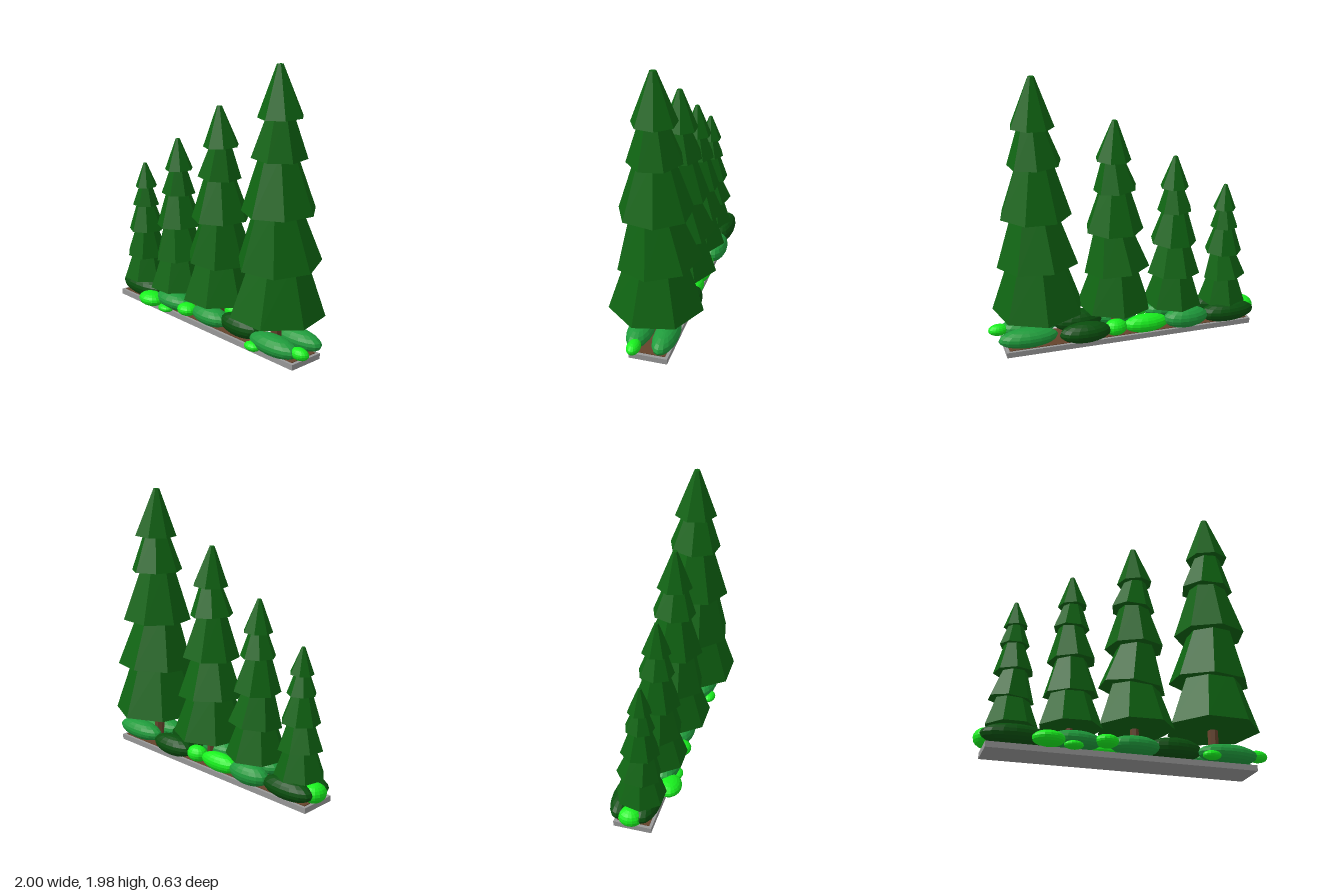
import * as THREE from 'three';

const mat = (color) => new THREE.MeshStandardMaterial({ color, flatShading: true });

export function createModel() {
  const model = new THREE.Group();
  const foliage = mat(0x0f6412);
  const bark = mat(0x65432b);
  const greens = { dark: mat(0x0a4f0e), mid: mat(0x1f9c3c), bright: mat(0x18f01e) };

  const add = (parent, name, geometry, material, x, y, z) => {
    const mesh = new THREE.Mesh(geometry, material);
    mesh.name = name;
    mesh.position.set(x, y, z);
    parent.add(mesh);
    return mesh;
  };

  // Base slab with a strip of soil
  add(model, 'base', new THREE.BoxGeometry(1.845, 0.04, 0.27), mat(0x999999), -0.0175, 0.02, -0.005);
  add(model, 'soil', new THREE.BoxGeometry(1.8, 0.012, 0.23), bark, -0.0175, 0.038, -0.005);

  // Foliage tiers of the tallest tree, above the slab:
  // [bottom y, top y, bottom radius, top radius, twist]
  const tiers = [
    [0.255, 0.66, 0.33, 0.19, Math.PI],
    [0.61, 1.02, 0.29, 0.15, Math.PI + 0.2],
    [0.97, 1.37, 0.255, 0.12, 0],
    [1.335, 1.63, 0.19, 0.085, 0.35],
    [1.595, 1.935, 0.155, 0.022, 0.05],
  ];

  // Trees: x, scale, and the sideways lean of each tier
  const trees = [
    [-0.765, 0.537, [0, -0.08, 0.03, -0.02, 0.03]],
    [-0.375, 0.667, [0.02, 0.04, 0.05, -0.03, 0.03]],
    [0.075, 0.822, [0.02, -0.08, 0.02, -0.08, 0.05]],
    [0.64, 1, [-0.01, -0.02, 0.02, -0.04, 0.03]],
  ];
  const forwardLean = [0, 0.12, 0.03, 0.04, 0.03];

  for (const [x, scale, sideLean] of trees) {
    const tree = new THREE.Group();
    tree.name = 'tree';
    tree.position.set(x, 0.04, 0.01);
    tree.scale.setScalar(scale);
    add(tree, 'trunk', new THREE.CylinderGeometry(0.034, 0.04, 0.4, 7), bark, 0, 0.2, 0);
    tiers.forEach(([y0, y1, r0, r1, twist], i) => {
      const geometry = new THREE.CylinderGeometry(r1, r0, y1 - y0, 7);
      geometry.rotateY(twist);
      const tier = add(tree, 'foliageTier', geometry, foliage, 0, (y0 + y1) / 2, 0);
      tier.rotation.set(forwardLean[i] * 0.7, 0, sideLean[i]);
    });
    model.add(tree);
  }

  // Shrubs: shade, centre x y z, half sizes x y z
  const shrubs = [
    // front row
    ['dark', -0.745, 0.113, 0.06, 0.225, 0.078, 0.09],
    ['bright', -0.54, 0.085, 0.15, 0.11, 0.052, 0.085],
    ['bright', -0.375, 0.057, 0.15, 0.065, 0.028, 0.05],
    ['mid', -0.35, 0.11, 0.085, 0.18, 0.065, 0.09],
    ['bright', -0.15, 0.11, 0.13, 0.08, 0.045, 0.07],
    ['mid', 0.055, 0.11, 0.085, 0.175, 0.068, 0.09],
    ['dark', 0.34, 0.12, 0.06, 0.19, 0.08, 0.085],
    ['mid', 0.705, 0.105, 0.1, 0.215, 0.07, 0.09],
    ['bright', 0.565, 0.07, 0.165, 0.065, 0.032, 0.045],
    ['bright', 0.925, 0.113, 0.085, 0.075, 0.042, 0.048],
    // back row
    ['dark', -0.76, 0.115, -0.11, 0.21, 0.075, 0.085],
    ['mid', -0.43, 0.125, -0.13, 0.17, 0.078, 0.085],
    ['bright', -0.13, 0.11, -0.11, 0.17, 0.068, 0.07],
    ['bright', 0.1, 0.11, -0.11, 0.085, 0.06, 0.065],
    ['dark', 0.33, 0.115, -0.13, 0.19, 0.075, 0.085],
    ['mid', 0.74, 0.115, -0.09, 0.215, 0.07, 0.085],
    // left end
    ['bright', -0.92, 0.105, -0.02, 0.08, 0.067, 0.09],
  ];
  const ball = new THREE.SphereGeometry(1, 16, 10);
  for (const [shade, x, y, z, sx, sy, sz] of shrubs) {
    add(model, 'shrub', ball, greens[shade], x, y, z).scale.set(sx, sy, sz);
  }

  return model;
}
